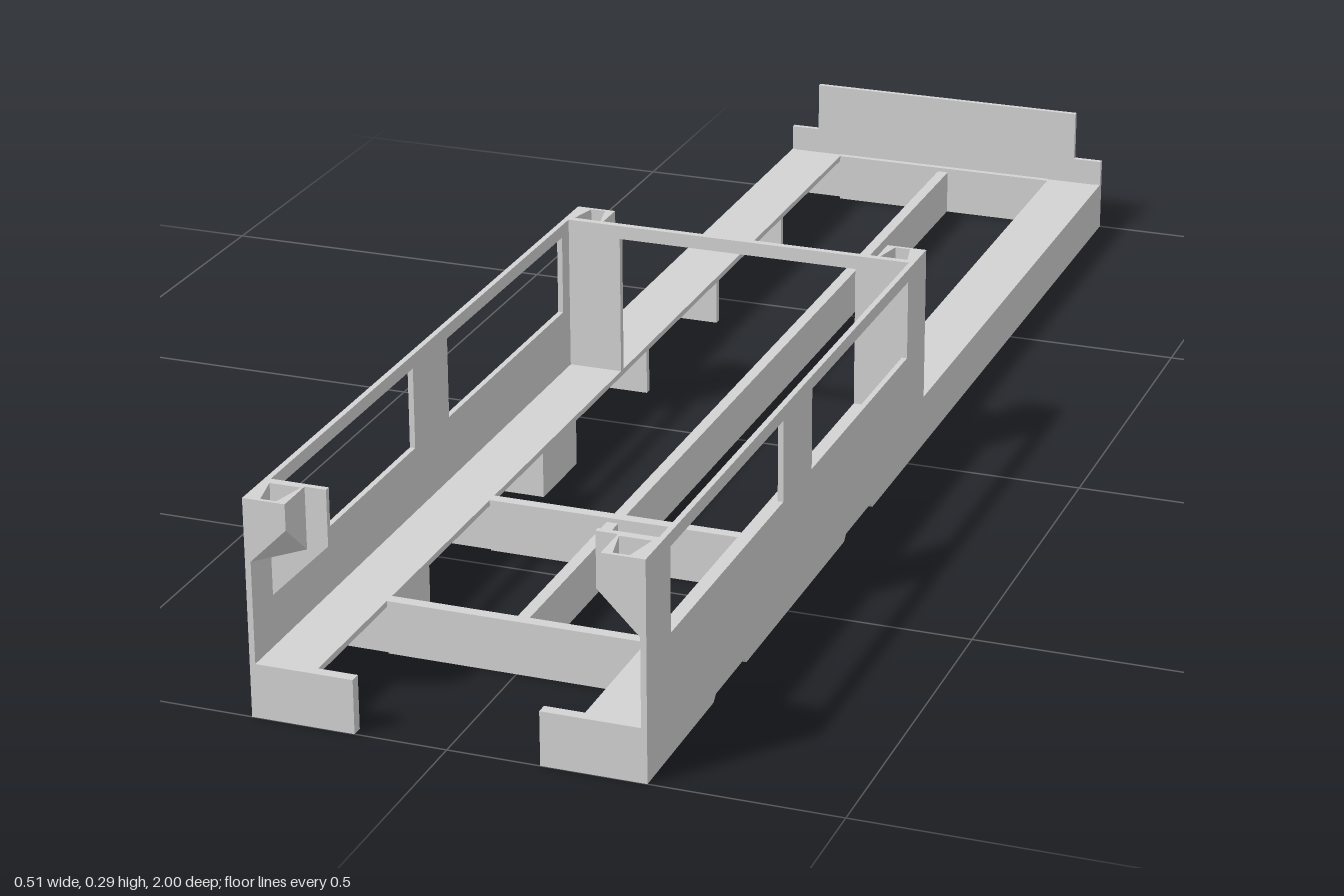
import * as THREE from 'three';

const W = 0.2555;   // outer half width
const T = 0.0075;   // wall thickness
const IN = 0.172;   // inner edge of the side shelves
const TOP = 0.289;  // top of the tall walls
const DECK = 0.072; // top of the shelves

const poly = (points) => new THREE.Shape(points.map(([a, b]) => new THREE.Vector2(a, b)));
const rect = (x0, x1, y0, y1) => [[x0, y0], [x1, y0], [x1, y1], [x0, y1]];

// Box given by its limits
function box(x0, x1, y0, y1, z0, z1) {
  return new THREE.BoxGeometry(x1 - x0, y1 - y0, z1 - z0)
    .translate((x0 + x1) / 2, (y0 + y1) / 2, (z0 + z1) / 2);
}

function extrude(outline, holes, depth) {
  const shape = poly(outline);
  holes.forEach((h) => shape.holes.push(h instanceof THREE.Path ? h : poly(h)));
  return new THREE.ExtrudeGeometry(shape, { depth, bevelEnabled: false });
}

// Outline in (x, z), extruded downwards from y = top
const slab = (outline, holes, top, depth) =>
  extrude(outline, holes, depth).rotateX(Math.PI / 2).translate(0, top, 0);

// Mirror a geometry along one axis and keep its faces outward
function mirror(geometry, axis) {
  const g = geometry.index ? geometry.toNonIndexed() : geometry.clone();
  g.scale(axis === 'x' ? -1 : 1, 1, axis === 'z' ? -1 : 1);
  const p = g.attributes.position;
  const a = new THREE.Vector3(), b = new THREE.Vector3();
  for (let i = 0; i < p.count; i += 3) {
    a.fromBufferAttribute(p, i + 1);
    b.fromBufferAttribute(p, i + 2);
    p.setXYZ(i + 1, b.x, b.y, b.z);
    p.setXYZ(i + 2, a.x, a.y, a.z);
  }
  g.computeVertexNormals();
  return g;
}

// Lower half of a socket: a square column with one bottom corner cut away
function socketBase(x0, x1, z0, z1, top) {
  const ring = [[x0, z0], [x0, z1], [x1, z1], [x1, z0]];
  const heights = [0.207, 0.255, 0.207, 0.207];
  const lower = ring.map(([x, z], i) => [x, heights[i], z]);
  const upper = ring.map(([x, z]) => [x, top, z]);
  const out = [];
  const quad = (a, b, c, d) => out.push(...a, ...b, ...c, ...a, ...c, ...d);
  for (let i = 0; i < 4; i++) {
    const j = (i + 1) % 4;
    quad(lower[i], lower[j], upper[j], upper[i]);
  }
  quad(...upper);
  quad(lower[2], lower[1], lower[0], lower[3]);
  const g = new THREE.BufferGeometry();
  g.setAttribute('position', new THREE.Float32BufferAttribute(out, 3));
  g.computeVertexNormals();
  return g;
}

export function createModel() {
  const model = new THREE.Group();
  model.name = 'chassisFrame';
  const grey = new THREE.MeshStandardMaterial({ color: 0xd3d3d3 });
  grey.name = 'lightGrey';

  const add = (name, geometry) => {
    const mesh = new THREE.Mesh(geometry, grey);
    mesh.name = name;
    model.add(mesh);
  };
  const pair = (name, geometry) => {
    add(name + 'Left', geometry);
    add(name + 'Right', mirror(geometry, 'x'));
  };

  // Side walls: tall front half with two windows, low rear half, foot notches
  const notch = 0.008;
  const wall = [
    [-1, 0], [0.155, 0], [0.163, notch], [0.267, notch], [0.275, 0],
    [0.657, 0], [0.665, notch], [0.767, notch], [0.775, 0],
    [1, 0], [1, TOP], [-0.07, TOP], [-0.07, DECK], [-1, DECK],
  ];
  const windows = [rect(0.01, 0.41, 0.16, 0.271), rect(0.52, 0.92, 0.16, 0.271)];
  pair('sideWall', extrude(wall, windows, T).rotateY(-Math.PI / 2).translate(W, 0, 0));

  // Shelves along both sides, with cross ribs underneath
  const under = DECK - 0.008;
  pair('sideShelf', box(IN, W - T, under, DECK, -0.99, 0.985));
  [-0.7, -0.41, -0.12, 0.16, 0.27, 0.45, 0.66, 0.777].forEach((z, i) =>
    pair('shelfRib' + (i + 1), box(IN, W - T, 0, under, z - 0.005, z + 0.005)));

  // Drilled mounting plates set in the notches, each closed by an inner wall
  [0.215, 0.715].forEach((z, i) => {
    const holes = [-0.026, 0.026].map((d) =>
      new THREE.Path().absarc(0.213, z + d, 0.011, 0, Math.PI * 2, true));
    pair('mountingPlate' + (i + 1),
      slab(rect(0.18, W - T, z - 0.05, z + 0.05), holes, notch + 0.007, 0.007));
    pair('plateWall' + (i + 1), box(IN, IN + 0.008, 0, under, z - 0.05, z + 0.05));
  });

  // Centre beam and cross beams
  add('centreBeam', box(-0.008, 0.008, 0, 0.066, -0.985, 0.777));
  [0.45, 0.777].forEach((z, i) =>
    add('crossBeam' + (i + 1), box(-IN, IN, 0, DECK, z - 0.008, z + 0.008)));

  // Stepped end panel at the back with a ledge between the shelves
  add('backPanel', extrude([
    [-W, 0], [W, 0], [W, 0.11], [0.212, 0.11], [0.212, 0.184],
    [-0.212, 0.184], [-0.212, 0.11], [-W, 0.11],
  ], [], 0.008).translate(0, 0, -1));
  add('backLedge', box(-IN, IN, 0, DECK, -0.992, -0.983));

  // Short front returns
  pair('frontReturn', box(0.12, W - T, 0, DECK, 0.985, 1));

  // Portal between the tall walls
  pair('portalPost', box(IN, W - T, DECK, TOP, -0.025, -0.015));
  add('portalBar', box(-IN, IN, 0.27, TOP, -0.025, -0.015));

  // Front corner webs with a slanted lower edge
  pair('cornerWeb', extrude(
    [[IN, 0.215], [W - T, 0.139], [W - T, TOP], [IN, TOP]], [], 0.008).translate(0, 0, 0.937));

  // Sockets in the four corners, open dovetail pocket on top
  const x0 = 0.2, x1 = W - T, z0 = 0.945, z1 = 1, split = 0.264;
  const pocket = [[0.203, z0 + 0.004], [0.244, z0 + 0.004], [0.234, z1 - 0.005], [0.213, z1 - 0.005]];
  const base = socketBase(x0, x1, z0, z1, split);
  const rim = slab(rect(x0, x1, z0, z1), [pocket], TOP, TOP - split);
  pair('frontSocketBase', base);
  pair('frontSocketRim', rim);
  pair('rearSocketBase', mirror(base, 'z').translate(0, 0, 0.93));
  pair('rearSocketRim', mirror(rim, 'z').translate(0, 0, 0.93));

  return model;
}
